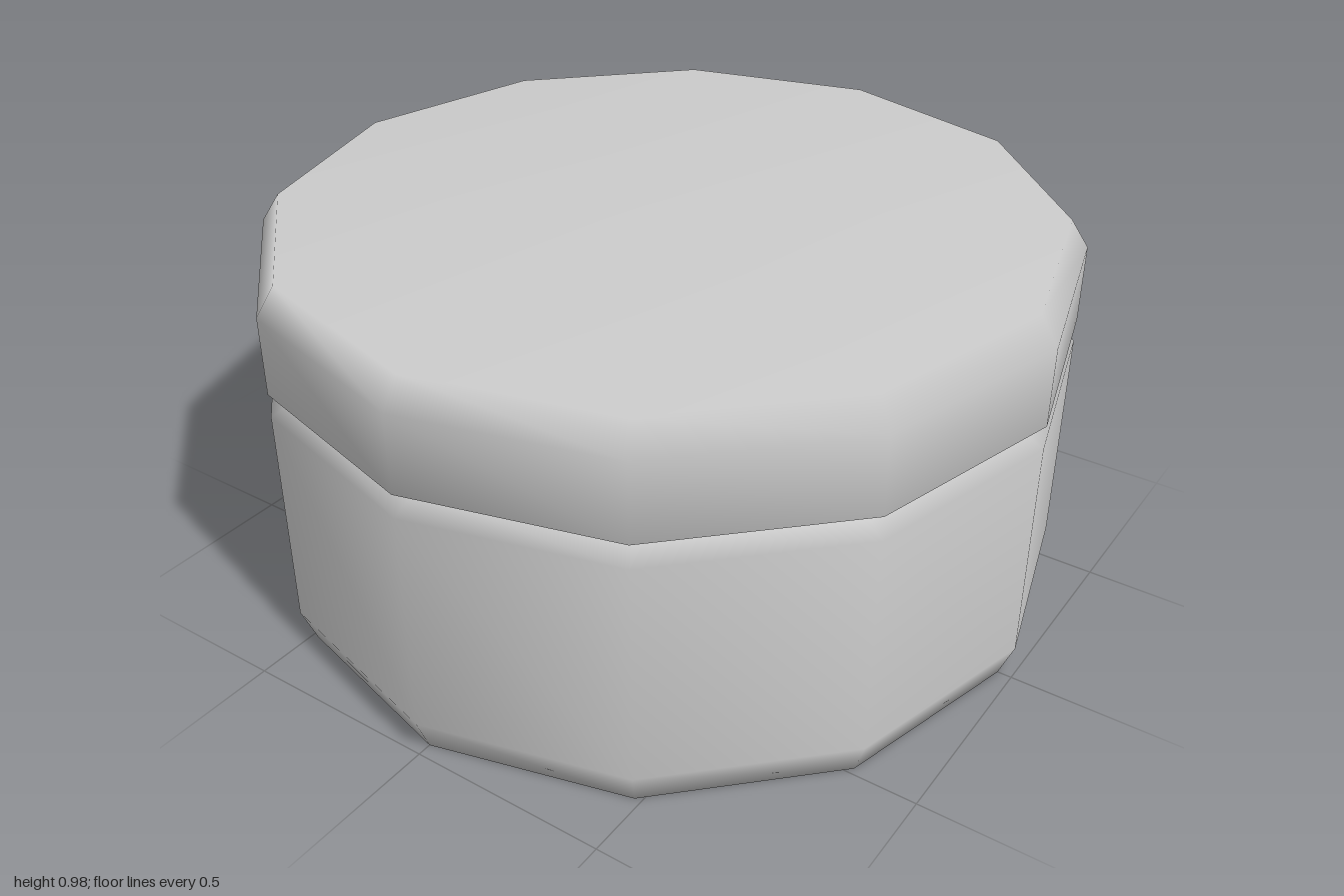
import * as THREE from 'three';

const SIDES = 12;

// Smooth-shaded twelve-sided solid turned from a [radius, height] profile, bottom to top
function turned(name, profile) {
  const points = profile.map(([r, y]) => new THREE.Vector2(r, y));
  const material = new THREE.MeshStandardMaterial({ color: 0xcccccc });
  const mesh = new THREE.Mesh(new THREE.LatheGeometry(points, SIDES), material);
  mesh.name = name;
  return mesh;
}

export function createModel() {
  const group = new THREE.Group();
  group.name = 'lowRoundJar';

  // Body: closed base with a chamfered foot, rising to the sloped inner shoulder
  group.add(turned('body', [
    [0, 0], [0.965, 0], [1, 0.09], [1, 0.655], [0.937, 0.686],
  ]));

  // Lid: undercut from the groove, straight rim, chamfered flat top
  group.add(turned('lid', [
    [0.937, 0.686], [1, 0.715], [1, 0.91], [0.955, 0.98], [0, 0.98],
  ]));

  return group;
}
